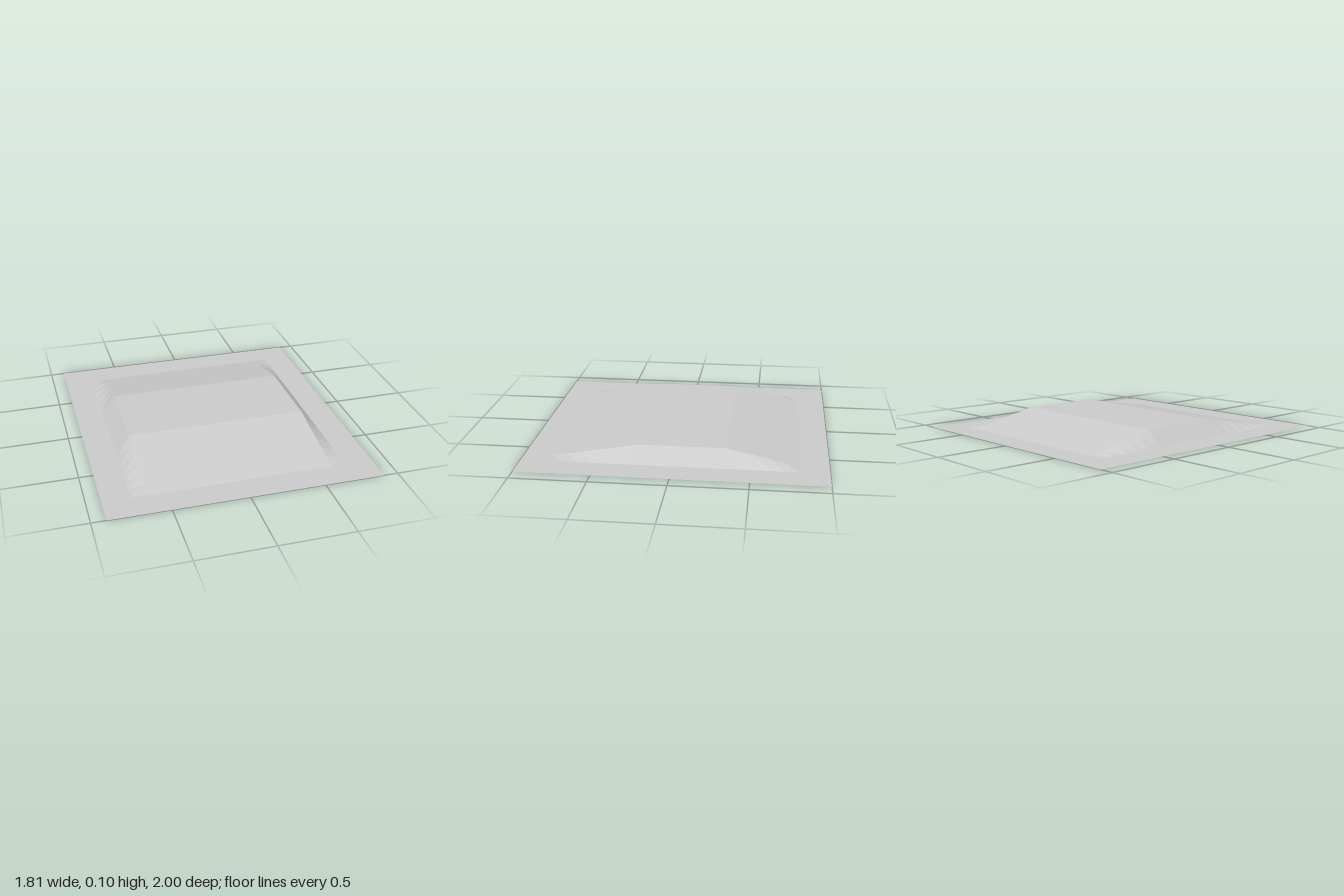
import * as THREE from 'three';

const COLS = 19, ROWS = 21, CELL = 2 / 21;
const HEIGHT = 0.102;

// Height along z: flat top with a ramp at each end, measured in cells
function rampHeight(z) {
  const front = (8.5 - z) / 6;
  const back = (z + 8.5) / 5;
  return HEIGHT * THREE.MathUtils.clamp(Math.min(front, back), 0, 1);
}

export function createModel() {
  const group = new THREE.Group();
  group.name = 'raisedPlatform';

  const grey = new THREE.MeshStandardMaterial({ color: 0xcccccc });
  grey.name = 'light grey';
  grey.side = THREE.DoubleSide;
  grey.flatShading = true;

  // Ground sheet on a square grid, lifted into a ramped mound
  const sheet = new THREE.PlaneGeometry(COLS * CELL, ROWS * CELL, COLS, ROWS);
  sheet.rotateX(-Math.PI / 2);
  const pos = sheet.attributes.position;
  for (let i = 0; i < pos.count; i++) {
    const inside = Math.abs(pos.getX(i) / CELL) < 7;
    pos.setY(i, inside ? rampHeight(pos.getZ(i) / CELL) : 0);
  }

  // Separate faces keep every fold crisp
  const geometry = sheet.toNonIndexed();
  geometry.computeVertexNormals();
  const mesh = new THREE.Mesh(geometry, grey);
  mesh.name = 'rampedGroundSheet';
  group.add(mesh);
  return group;
}
